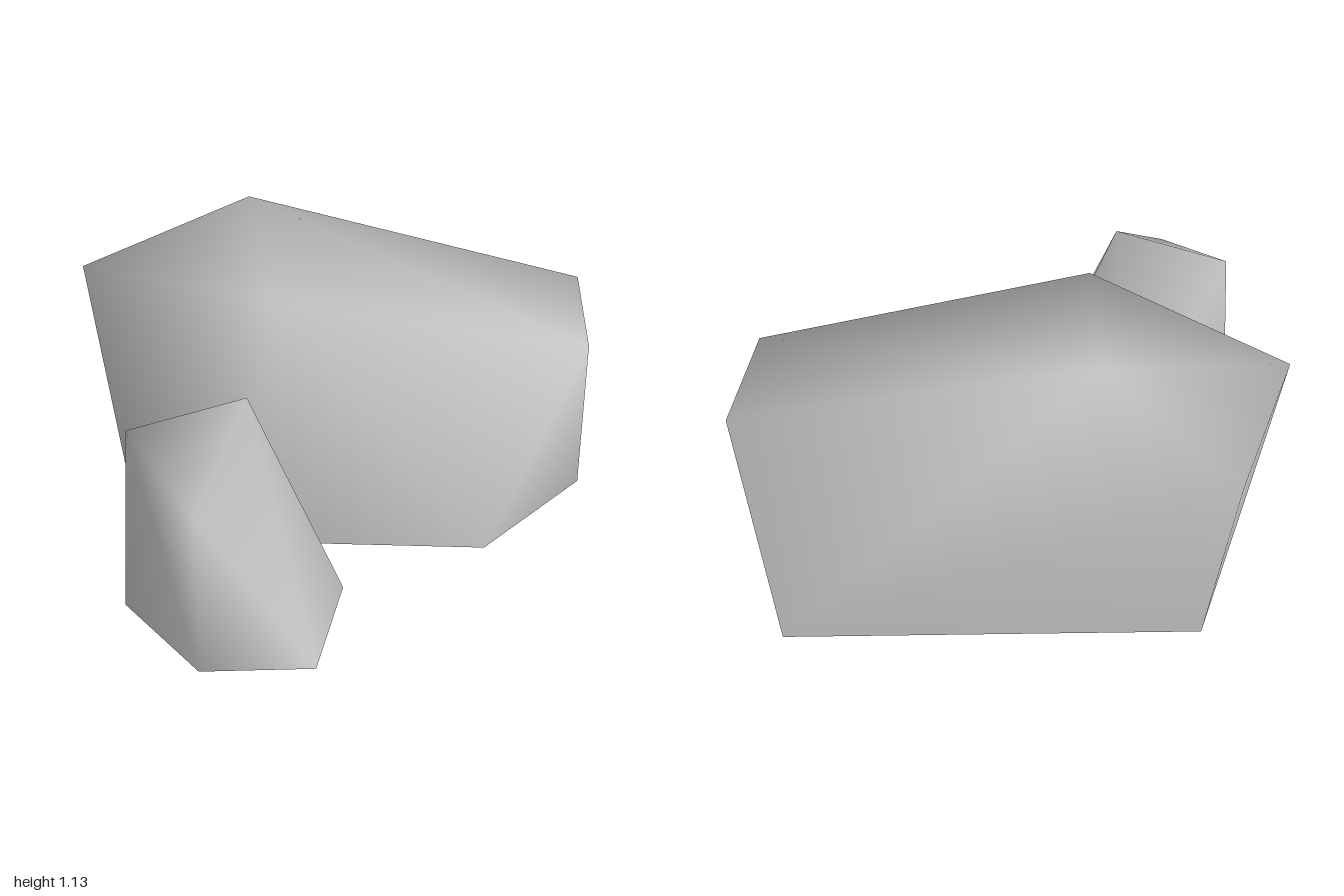
import * as THREE from 'three';
import { ConvexGeometry } from 'three/addons/geometries/ConvexGeometry.js';
import { mergeVertices } from 'three/addons/utils/BufferGeometryUtils.js';

const stone = new THREE.MeshStandardMaterial({ color: 0xc4c4c4, side: THREE.DoubleSide });
stone.name = 'grey stone';

// A faceted boulder: convex hull of its corners, open underneath, with shared smooth normals
function makeRock(name, base, crown) {
  const corners = [
    ...base.map(([x, z]) => new THREE.Vector3(x, 0, z)),
    ...crown.map(([x, y, z]) => new THREE.Vector3(x, y, z)),
  ];
  const hull = new ConvexGeometry(corners).getAttribute('position');

  // Keep every triangle that is not lying on the ground
  const shell = [];
  for (let i = 0; i < hull.count; i += 3) {
    const triangle = [i, i + 1, i + 2];
    if (triangle.every((k) => hull.getY(k) < 1e-4)) continue;
    for (const k of triangle) shell.push(hull.getX(k), hull.getY(k), hull.getZ(k));
  }

  const open = new THREE.BufferGeometry();
  open.setAttribute('position', new THREE.Float32BufferAttribute(shell, 3));
  const geometry = mergeVertices(open);
  geometry.computeVertexNormals();
  const mesh = new THREE.Mesh(geometry, stone);
  mesh.name = name;
  return mesh;
}

export function createModel() {
  const group = new THREE.Group();
  group.name = 'rocks';

  // Large boulder at the back: footprint (x, z), then upper corners (x, y, z)
  group.add(makeRock('largeRock',
    [[-0.83, -0.29], [-0.33, 0.06], [0.57, 0.125], [1.0, -0.42], [0.8, -0.99], [-0.735, -0.84]],
    [
      [-0.345, 1.135, -0.77],
      [1.0, 0.79, -0.72],
      [0.98, 0.74, -0.15],
      [-0.26, 1.01, -0.01],
      [-1.0, 0.965, -0.46],
      [-0.85, 0.72, -0.87],
    ]));

  // Small pointed rock in front
  group.add(makeRock('smallRock',
    [[-0.81, 0.525], [-0.37, 0.125], [0.01, 0.415], [-0.1, 0.98], [-0.52, 0.99]],
    [
      [-0.34, 0.855, 0.515],
      [-0.78, 0.73, 0.52],
      [-0.52, 0.57, 0.9],
    ]));

  return group;
}
